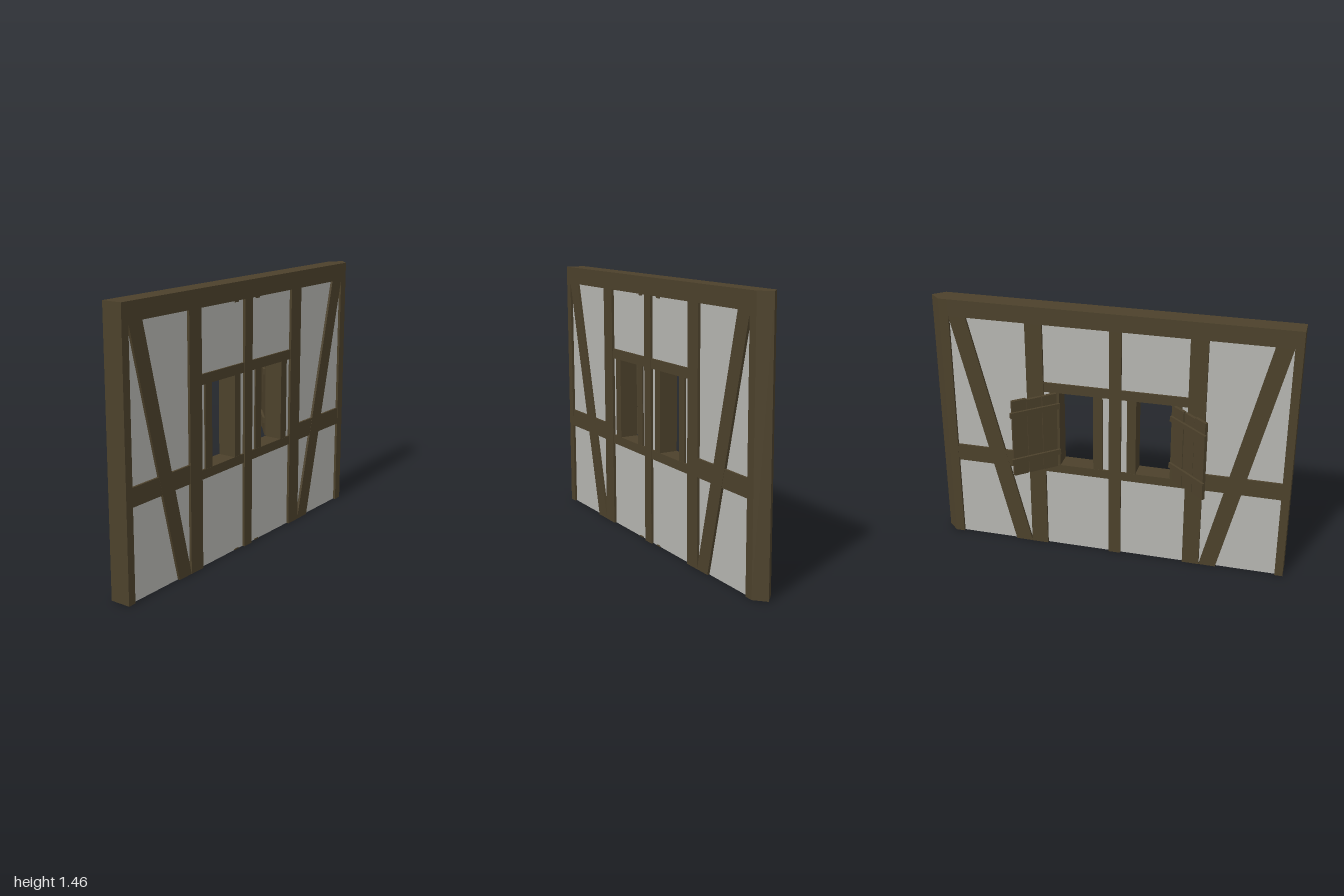
import * as THREE from 'three';

// The timbers are hollow and open underneath, so both sides show
const wood = new THREE.MeshStandardMaterial({ color: 0x4c412b, side: THREE.DoubleSide });
wood.name = 'dark oak';
const plaster = new THREE.MeshStandardMaterial({ color: 0xb5b5b1, side: THREE.DoubleSide });
plaster.name = 'grey plaster';

const FRONT = 0.153, BACK = 0.04, MID = (FRONT + BACK) / 2, TOP = 1.455;

// Flat-shaded copy of a box without its underside
function openBottom(box) {
  const index = Array.from(box.index.array);
  index.splice(box.groups[3].start, box.groups[3].count);
  box.setIndex(index);
  box.clearGroups();
  const g = box.toNonIndexed();
  g.computeVertexNormals();
  return g;
}

function rect(path, x0, x1, y0, y1) {
  path.moveTo(x0, y0);
  path.lineTo(x1, y0);
  path.lineTo(x1, y1);
  path.lineTo(x0, y1);
  path.closePath();
  return path;
}

export function createModel() {
  const model = new THREE.Group();
  const add = (name, geometry, material = wood, parent = model) => {
    const mesh = new THREE.Mesh(geometry, material);
    mesh.name = name;
    parent.add(mesh);
    return mesh;
  };

  // Timber through the full wall depth; lean shifts its top sideways
  const beam = (name, x0, x1, y0, y1, { lean = 0, inset = 0 } = {}) => {
    const g = new THREE.BoxGeometry(x1 - x0, y1 - y0, FRONT - BACK - inset * 2);
    g.translate((x0 + x1) / 2, (y0 + y1) / 2, MID);
    const p = g.attributes.position;
    for (let i = 0; i < p.count; i++) {
      if (p.getY(i) > (y0 + y1) / 2) p.setX(i, p.getX(i) + lean);
    }
    g.computeVertexNormals();
    add(name, y0 === 0 ? openBottom(g) : g);
  };

  // Main frame
  beam('topBeam', -1, 0.89, 1.36, TOP);
  beam('endPost', -1, -0.955, 0, 1.36);
  beam('innerPost', -0.525, -0.43, 0, 1.36);
  beam('middlePost', -0.067, 0, 0, 1.36);
  beam('innerPost', 0.367, 0.462, 0, 1.36);
  beam('diagonalBrace', -0.62, -0.525, 0, 1.36, { lean: -0.335, inset: 0.001 });
  beam('diagonalBrace', 0.462, 0.558, 0, 1.36, { lean: 0.333, inset: 0.001 });
  beam('sideRail', -0.955, -0.525, 0.485, 0.583, { inset: 0.002 });
  beam('sideRail', 0.462, 0.892, 0.485, 0.583, { inset: 0.002 });

  // Corner post: the middle of its outer side is drawn out to a ridge
  const corner = new THREE.BoxGeometry(0.05, TOP, FRONT - BACK, 1, 1, 2);
  corner.translate(0.915, TOP / 2, MID);
  const c = corner.attributes.position;
  for (let i = 0; i < c.count; i++) {
    if (c.getX(i) > 0.93 && Math.abs(c.getZ(i) - MID) < 0.01) c.setX(i, 1);
  }
  add('cornerPost', openBottom(corner));

  // Window frame: rails above and below, jambs beside each opening
  for (const [x0, x1] of [[-0.43, -0.067], [0, 0.367]]) {
    beam('windowHead', x0, x1, 0.973, 1.027, { inset: 0.004 });
    beam('windowSill', x0, x1, 0.48, 0.53, { inset: 0.004 });
  }
  for (const [x0, x1] of [[-0.397, -0.343], [-0.15, -0.1], [0.037, 0.09], [0.28, 0.333]]) {
    beam('windowJamb', x0, x1, 0.53, 0.973, { inset: 0.005 });
  }

  // Plaster sheets on both faces, with window openings
  for (const side of [1, -1]) {
    const sheet = rect(new THREE.Shape(), -0.98 * side, 0.92 * side, 0, 1.4);
    for (const [x0, x1] of [[-0.36, -0.135], [0.075, 0.295]]) {
      sheet.holes.push(rect(new THREE.Path(), x0 * side, x1 * side, 0.515, 0.985));
    }
    const g = new THREE.ShapeGeometry(sheet);
    if (side < 0) g.rotateY(Math.PI);
    g.translate(0, 0, side > 0 ? FRONT - 0.014 : BACK + 0.014);
    add(side > 0 ? 'frontPlaster' : 'backPlaster', g, plaster);
  }

  // Small peg ends above and below the windows
  for (const x of [-0.125, 0.059]) {
    for (const [y, h] of [[1.356, 0.012], [0.003, 0.006]]) {
      const peg = add('pegEnd', new THREE.BoxGeometry(0.034, h, 0.006));
      peg.position.set(x, y, FRONT - 0.013);
    }
  }

  // Open shutters on the back: three uneven planks and two battens each
  const planks = [
    { x: 0.046, y: 0.752, h: 0.446, tilt: 0.003, z: 0 },
    { x: 0.133, y: 0.751, h: 0.444, tilt: -0.004, z: 0.002 },
    { x: 0.221, y: 0.755, h: 0.45, tilt: 0.003, z: 0 },
  ];
  for (const side of [1, -1]) {
    const shutter = new THREE.Group();
    shutter.name = side > 0 ? 'leftShutter' : 'rightShutter';
    shutter.position.set(-0.0325 + side * 0.326, 0, 0.042);
    shutter.rotation.y = side * 0.71;
    for (const { x, y, h, tilt, z } of planks) {
      const plank = add('shutterPlank', new THREE.BoxGeometry(0.084, h, 0.018), wood, shutter);
      plank.position.set(side * x, y, z);
      plank.rotation.z = side * tilt;
    }
    for (const y of [0.622, 0.902]) {
      const batten = add('shutterBatten', new THREE.BoxGeometry(0.288, 0.031, 0.014), wood, shutter);
      batten.position.set(side * 0.133, y, -0.015);
    }
    model.add(shutter);
  }

  return model;
}
